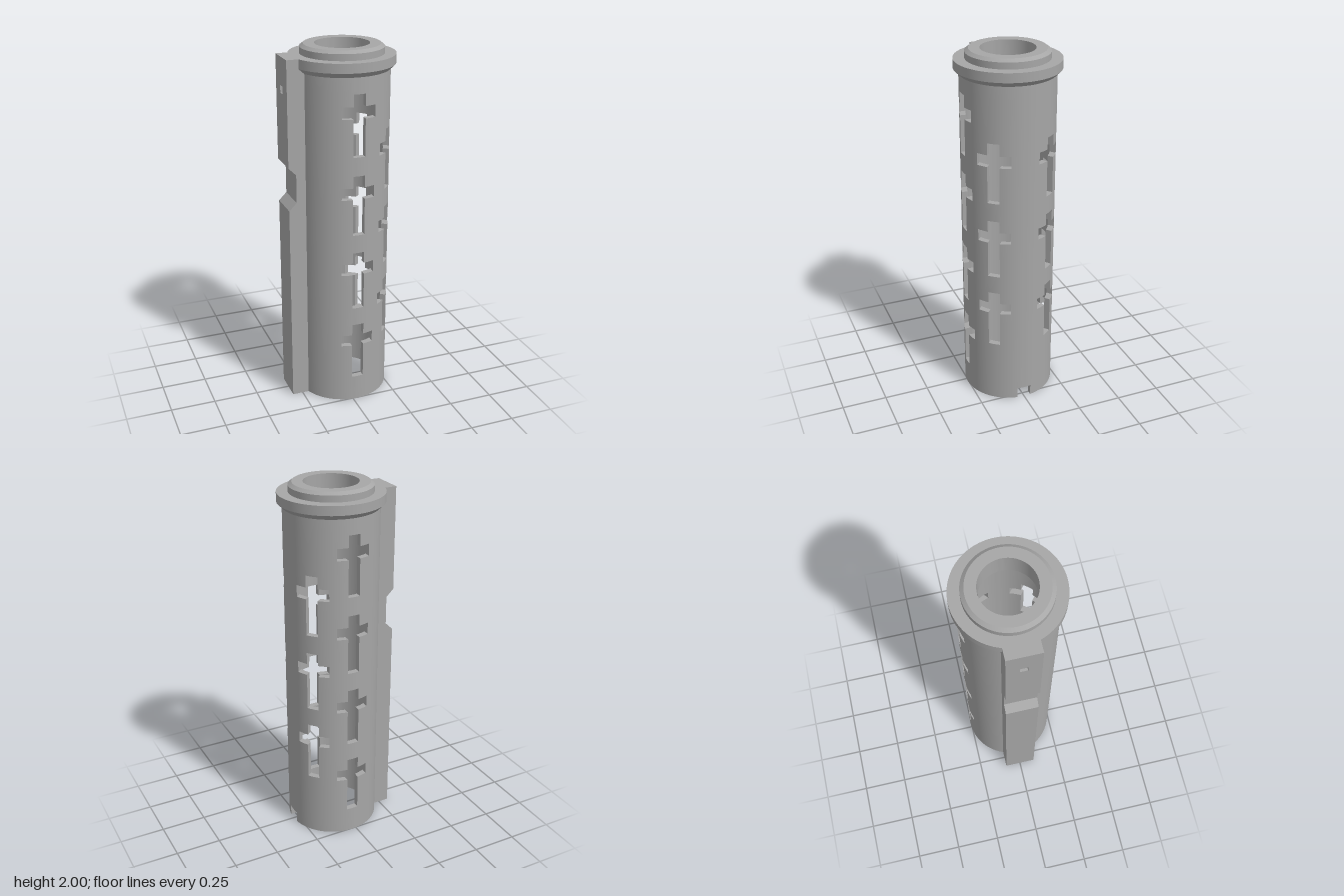
import * as THREE from 'three';
import { toCreasedNormals } from 'three/addons/utils/BufferGeometryUtils.js';

const CX = 0.025;            // tube axis
const R_OUT = 0.255, R_IN = 0.222, WALL_TOP = 1.873;
const DEG = Math.PI / 180;

// Cutouts: rectangles pushed straight through the wall at a given angle
const cuts = [];
const addCut = (angle, w, y0, y1) => cuts.push({ a: angle * DEG, w, y0, y1 });
function addCross(angle, y) {
  addCut(angle, 0.033, y, y + 0.333);
  addCut(angle, 0.0915, y + 0.203, y + 0.268);
}
for (const angle of [90, 270]) for (let i = 0; i < 4; i++) addCross(angle, 0.146 + i * 0.436);
for (const angle of [39, 321]) for (let i = 0; i < 3; i++) addCross(angle, 0.364 + i * 0.436);
addCut(0, 0.04, -0.1, 0.062);    // key notch in the lower rim
addCut(180, 0.02, 1.76, 1.80);   // pin hole behind the rail

const uniqueSorted = (list, key) => list
  .sort((a, b) => key(a) - key(b))
  .filter((v, i, l) => i === 0 || key(v) - key(l[i - 1]) > 1e-4);

function wallGeometry() {
  // Vertical grid lines, with separate outer and inner angles so cuts stay parallel-sided
  const lines = [];
  for (const { a, w } of cuts) for (const s of [-w, w]) {
    const o = a + Math.asin(s / R_OUT), i = a + Math.asin(s / R_IN);
    const turn = o < 0 ? 2 * Math.PI : 0;
    lines.push({ o: o + turn, i: i + turn });
  }
  const main = uniqueSorted(lines, l => l.o);
  const cols = [];
  main.forEach((l, k) => {
    const last = k === main.length - 1;
    const next = last ? { o: main[0].o + 2 * Math.PI, i: main[0].i + 2 * Math.PI } : main[k + 1];
    const n = Math.ceil((next.o - l.o) / (4 * DEG));
    for (let j = 0; j < n; j++) {
      const t = j / n;
      cols.push({ o: l.o + (next.o - l.o) * t, i: l.i + (next.i - l.i) * t });
    }
  });
  const nc = cols.length;
  cols.push({ o: cols[0].o + 2 * Math.PI, i: cols[0].i + 2 * Math.PI });

  const rows = uniqueSorted(
    [0, WALL_TOP, ...cuts.flatMap(c => [Math.max(0, c.y0), c.y1])], y => y);
  const nr = rows.length - 1;

  const solid = (c, r) => {
    if (r < 0) return false;
    if (r >= nr) return true;
    c = (c + nc) % nc;
    const a = (cols[c].o + cols[c + 1].o) / 2, y = (rows[r] + rows[r + 1]) / 2;
    return !cuts.some(k => y > k.y0 && y < k.y1 &&
      Math.cos(a - k.a) > 0 && Math.abs(R_OUT * Math.sin(a - k.a)) < k.w);
  };

  const pos = [];
  const outer = (c, r) => [CX + R_OUT * Math.cos(cols[c].o), rows[r], R_OUT * Math.sin(cols[c].o)];
  const inner = (c, r) => [CX + R_IN * Math.cos(cols[c].i), rows[r], R_IN * Math.sin(cols[c].i)];
  const quad = (a, b, c, d) => pos.push(...a, ...b, ...c, ...a, ...c, ...d);
  for (let c = 0; c < nc; c++) for (let r = 0; r < nr; r++) {
    if (!solid(c, r)) continue;
    const d = c + 1, t = r + 1;
    quad(outer(c, r), outer(c, t), outer(d, t), outer(d, r));
    quad(inner(c, r), inner(d, r), inner(d, t), inner(c, t));
    // Walls around the openings
    if (!solid(c - 1, r)) quad(outer(c, r), inner(c, r), inner(c, t), outer(c, t));
    if (!solid(c + 1, r)) quad(outer(d, r), outer(d, t), inner(d, t), inner(d, r));
    if (!solid(c, r - 1)) quad(outer(c, r), outer(d, r), inner(d, r), inner(c, r));
    if (!solid(c, r + 1)) quad(outer(c, t), inner(c, t), inner(d, t), outer(d, t));
  }
  const geo = new THREE.BufferGeometry();
  geo.setAttribute('position', new THREE.Float32BufferAttribute(pos, 3));
  return toCreasedNormals(geo, 0.5);
}

export function createModel() {
  const group = new THREE.Group();
  const grey = new THREE.MeshStandardMaterial({ color: 0xa6a6a6 });
  grey.name = 'grey';
  const add = (name, geo, parent = group) => {
    const mesh = new THREE.Mesh(geo, grey);
    mesh.name = name;
    parent.add(mesh);
    return mesh;
  };

  // Perforated tube
  add('tubeWall', wallGeometry());

  // Flanged collar with a narrower bore
  const profile = [
    [0.145, WALL_TOP], [R_OUT, WALL_TOP], [0.283, 1.9], [0.283, 1.95], [0.223, 1.95],
    [0.223, 1.985], [0.203, 2], [0.145, 2], [0.145, WALL_TOP],
  ].map(p => new THREE.Vector2(...p));
  add('collar', toCreasedNormals(new THREE.LatheGeometry(profile, 96), 0.5)).position.x = CX;

  // Side rail with a grip notch; the middle slab leaves a gap for the pin hole
  const rail = new THREE.Group();
  rail.name = 'sideRail';
  group.add(rail);
  const X0 = -0.308, X1 = -0.205;
  const notch = [[X0, 1.38], [-0.266, 1.338], [-0.266, 1.182], [X0, 1.14]];
  const slab = (name, points, z0, z1) => {
    const shape = new THREE.Shape(points.map(p => new THREE.Vector2(...p)));
    const geo = new THREE.ExtrudeGeometry(shape, { depth: z1 - z0, bevelEnabled: false });
    add(name, geo, rail).position.z = z0;
  };
  const body = top => [[X0, 0], [X1, 0], [X1, top], [X0, top], ...notch];
  slab('railBack', body(1.95), -0.09, -0.02);
  slab('railFront', body(1.95), 0.02, 0.09);
  slab('railMiddle', body(1.76), -0.02, 0.02);
  slab('railMiddleTop', [[X0, 1.8], [X1, 1.8], [X1, 1.95], [X0, 1.95]], -0.02, 0.02);

  return group;
}
